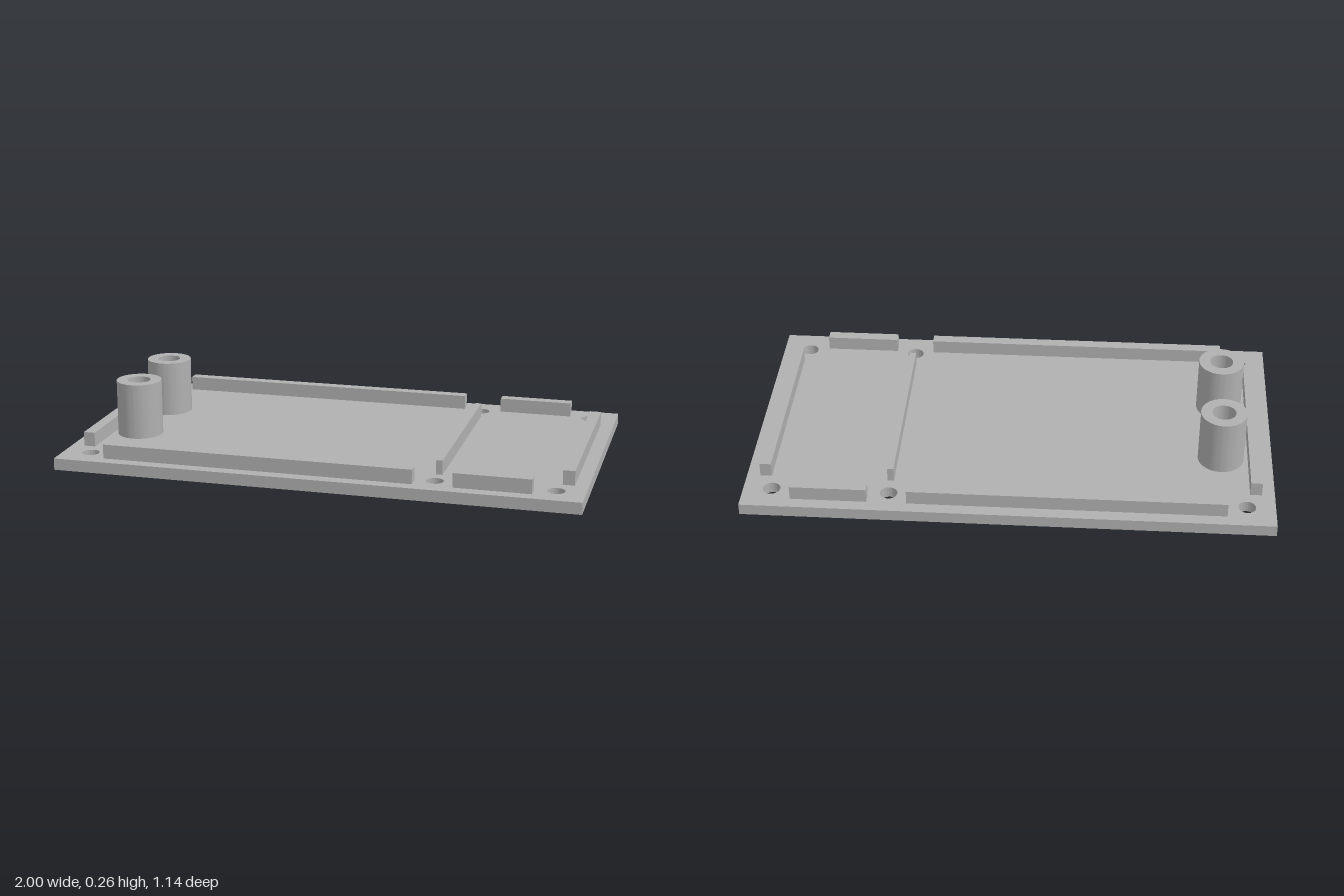
import * as THREE from 'three';
import { toCreasedNormals } from 'three/addons/utils/BufferGeometryUtils.js';

const PLATE_TOP = 0.045, RIB_TOP = 0.1, BOSS_TOP = 0.262;
const BOSS_X = -0.803, BOSS_Z = 0.17, BOSS_R = 0.088, BORE_R = 0.045;

function addHole(shape, x, y, r) {
  const hole = new THREE.Path();
  hole.absarc(x, y, r, 0, Math.PI * 2, true);
  shape.holes.push(hole);
}

// Extrudes a plan shape upwards from y0 to y1
function extrudeUp(shape, y0, y1) {
  const geo = new THREE.ExtrudeGeometry(shape, { depth: y1 - y0, bevelEnabled: false, curveSegments: 40 });
  geo.rotateX(-Math.PI / 2).translate(0, y0, 0);
  return toCreasedNormals(geo, 0.5);
}

export function createModel() {
  const group = new THREE.Group();
  group.name = 'enclosureLid';
  const grey = new THREE.MeshStandardMaterial({ color: 0xb0b0b0 });
  grey.name = 'grey plastic';

  const add = (name, geo) => {
    const mesh = new THREE.Mesh(geo, grey);
    mesh.name = name;
    group.add(mesh);
  };
  const rib = (name, x0, x1, z0, z1) => {
    const geo = new THREE.BoxGeometry(x1 - x0, RIB_TOP - PLATE_TOP, z1 - z0);
    add(name, geo.translate((x0 + x1) / 2, (RIB_TOP + PLATE_TOP) / 2, (z0 + z1) / 2));
  };

  // Base plate with screw holes and boss bores
  const plate = new THREE.Shape();
  plate.moveTo(-1, -0.57).lineTo(1, -0.57).lineTo(1, 0.57).lineTo(-1, 0.57).closePath();
  for (const s of [-1, 1]) {
    for (const x of [-0.893, 0.449, 0.893]) addHole(plate, x, s * 0.465, 0.033);
    addHole(plate, BOSS_X, s * BOSS_Z, BORE_R);
  }
  add('basePlate', extrudeUp(plate, 0, PLATE_TOP));

  // Front and back ribs, and the hollow bosses
  for (const [side, s] of [['front', 1], ['back', -1]]) {
    const [z0, z1] = s > 0 ? [0.48, 0.523] : [-0.523, -0.48];
    rib(side + 'LongRib', -0.818, 0.376, z0, z1);
    rib(side + 'ShortRib', 0.526, 0.814, z0, z1);

    const ring = new THREE.Shape();
    ring.absarc(BOSS_X, -s * BOSS_Z, BOSS_R, 0, Math.PI * 2, false);
    addHole(ring, BOSS_X, -s * BOSS_Z, BORE_R);
    add(side + 'Boss', extrudeUp(ring, PLATE_TOP, BOSS_TOP));
  }

  // End ribs and the thin divider
  rib('rightEndRib', -0.951, -0.907, -0.39, 0.39);
  rib('leftEndRib', 0.905, 0.949, -0.39, 0.39);
  rib('divider', 0.438, 0.462, -0.39, 0.39);

  return group;
}
